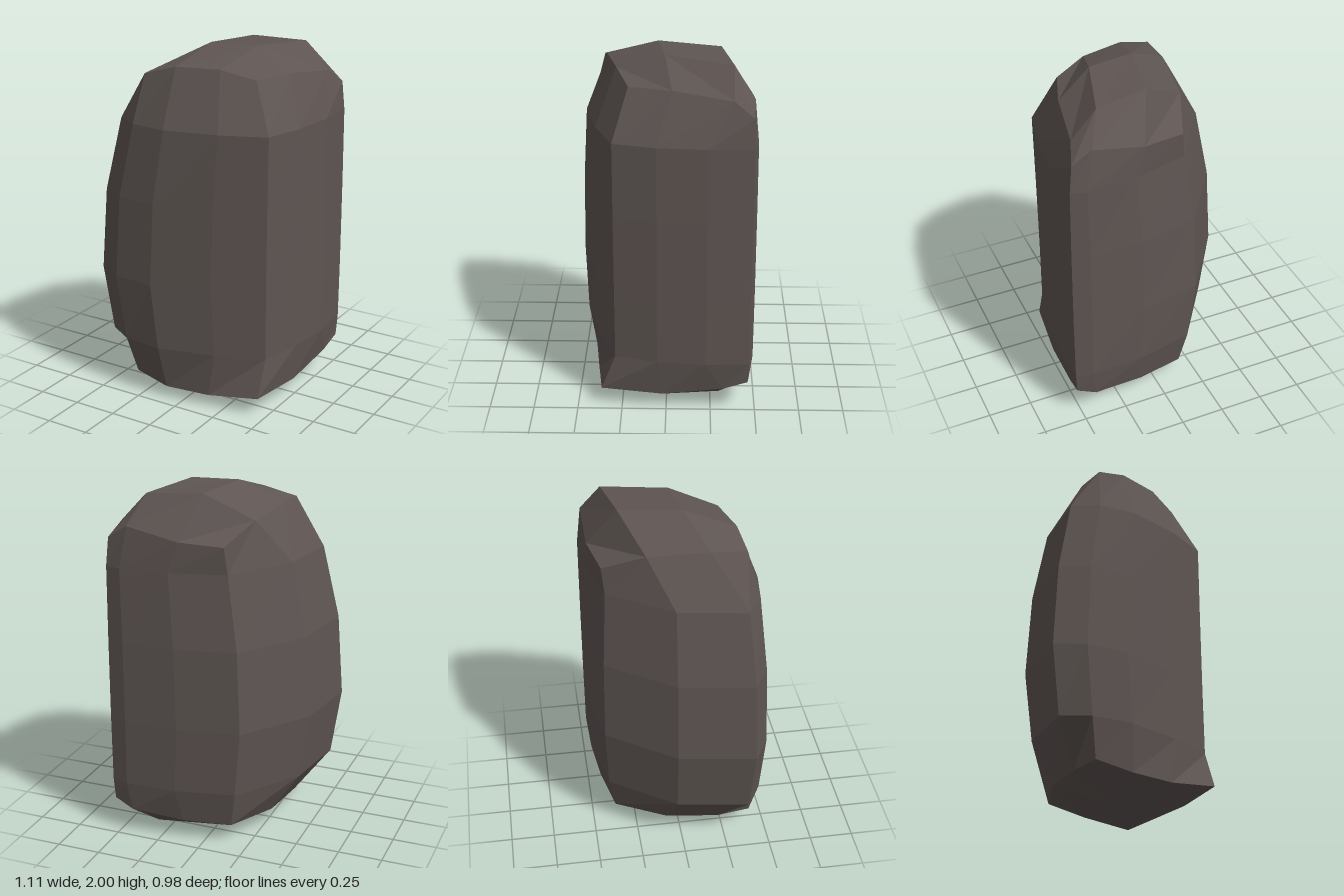
import * as THREE from 'three';

// Widest outline as [x, z], running front left -> front right -> back -> left
const OUTLINE = [
  [-0.555, 0.387], [-0.4, 0.475], [-0.16, 0.49], [0.18, 0.4], [0.46, 0.285], [0.525, 0.05],
  [0.55, -0.22], [0.54, -0.46], [0.44, -0.485], [0.13, -0.485], [-0.22, -0.42], [-0.49, -0.04],
];
// Uneven rims closing the stone, as [x, y, z] in the same order
const BOTTOM_RIM = [
  [-0.33, 0.1, 0.22], [-0.31, 0.11, 0.41], [-0.1, 0.07, 0.43], [0.16, 0.07, 0.4], [0.46, 0.11, 0.365], [0.5, 0.1, 0.02],
  [0.52, 0.15, -0.32], [0.53, 0.2, -0.455], [0.42, 0.15, -0.465], [0.12, 0.12, -0.43], [-0.15, 0.11, -0.37], [-0.29, 0.1, -0.08],
];
const TOP_RIM = [
  [-0.26, 1.87, 0.16], [-0.26, 1.86, 0.355], [-0.08, 1.91, 0.33], [0.16, 1.91, 0.27], [0.34, 1.86, 0.2], [0.42, 1.865, -0.03],
  [0.48, 1.83, -0.35], [0.52, 1.75, -0.455], [0.41, 1.82, -0.46], [0.12, 1.76, -0.455], [-0.12, 1.74, -0.4], [-0.21, 1.84, -0.17],
];
// Four inner points of each cap: front pair, back pair
const BOTTOM_INNER = [[-0.04, 0, 0.12], [0.28, 0.015, 0.07], [0.02, 0.03, -0.26], [0.33, 0.015, -0.3]];
const TOP_INNER = [[-0.03, 2, 0.05], [0.23, 2, 0.01], [0.04, 1.99, -0.29], [0.34, 1.98, -0.35]];

// Body ring: the outline drawn in towards its right side by the taper
function bodyRing(y, taper) {
  return OUTLINE.map(([x, z]) => [
    0.5 - (0.5 - x) * (1 - taper), y, z * (1 - taper * Math.max(0, 0.5 - x)),
  ]);
}

function stoneGeometry() {
  const positions = [];
  const quad = (a, b, c, d) => positions.push(...a, ...b, ...c, ...a, ...c, ...d);

  // Side walls between successive rings
  const rings = [
    BOTTOM_RIM, bodyRing(0.32, 0.05), bodyRing(0.7, 0), bodyRing(1.17, 0.03), bodyRing(1.59, 0.115), TOP_RIM,
  ];
  for (let r = 0; r < rings.length - 1; r++) {
    const lo = rings[r], hi = rings[r + 1];
    for (let i = 0; i < lo.length; i++) {
      const j = (i + 1) % lo.length;
      quad(lo[i], lo[j], hi[j], hi[i]);
    }
  }

  // Caps: a 4 x 4 net of points inside each rim
  const cap = (rim, inner, up) => {
    const rows = [
      [rim[1], rim[2], rim[3], rim[4]],
      [rim[0], inner[0], inner[1], rim[5]],
      [rim[11], inner[2], inner[3], rim[6]],
      [rim[10], rim[9], rim[8], rim[7]],
    ];
    for (let r = 0; r < 3; r++) {
      for (let c = 0; c < 3; c++) {
        const q = [rows[r][c], rows[r][c + 1], rows[r + 1][c + 1], rows[r + 1][c]];
        quad(...(up ? q : q.reverse()));
      }
    }
  };
  cap(TOP_RIM, TOP_INNER, true);
  cap(BOTTOM_RIM, BOTTOM_INNER, false);

  const geometry = new THREE.BufferGeometry();
  geometry.setAttribute('position', new THREE.Float32BufferAttribute(positions, 3));
  geometry.computeVertexNormals();
  return geometry;
}

export function createModel() {
  const model = new THREE.Group();
  model.name = 'rock';
  const stone = new THREE.Mesh(
    stoneGeometry(),
    new THREE.MeshStandardMaterial({ color: 0x5e5552, flatShading: true }),
  );
  stone.name = 'stone';
  model.add(stone);
  return model;
}
